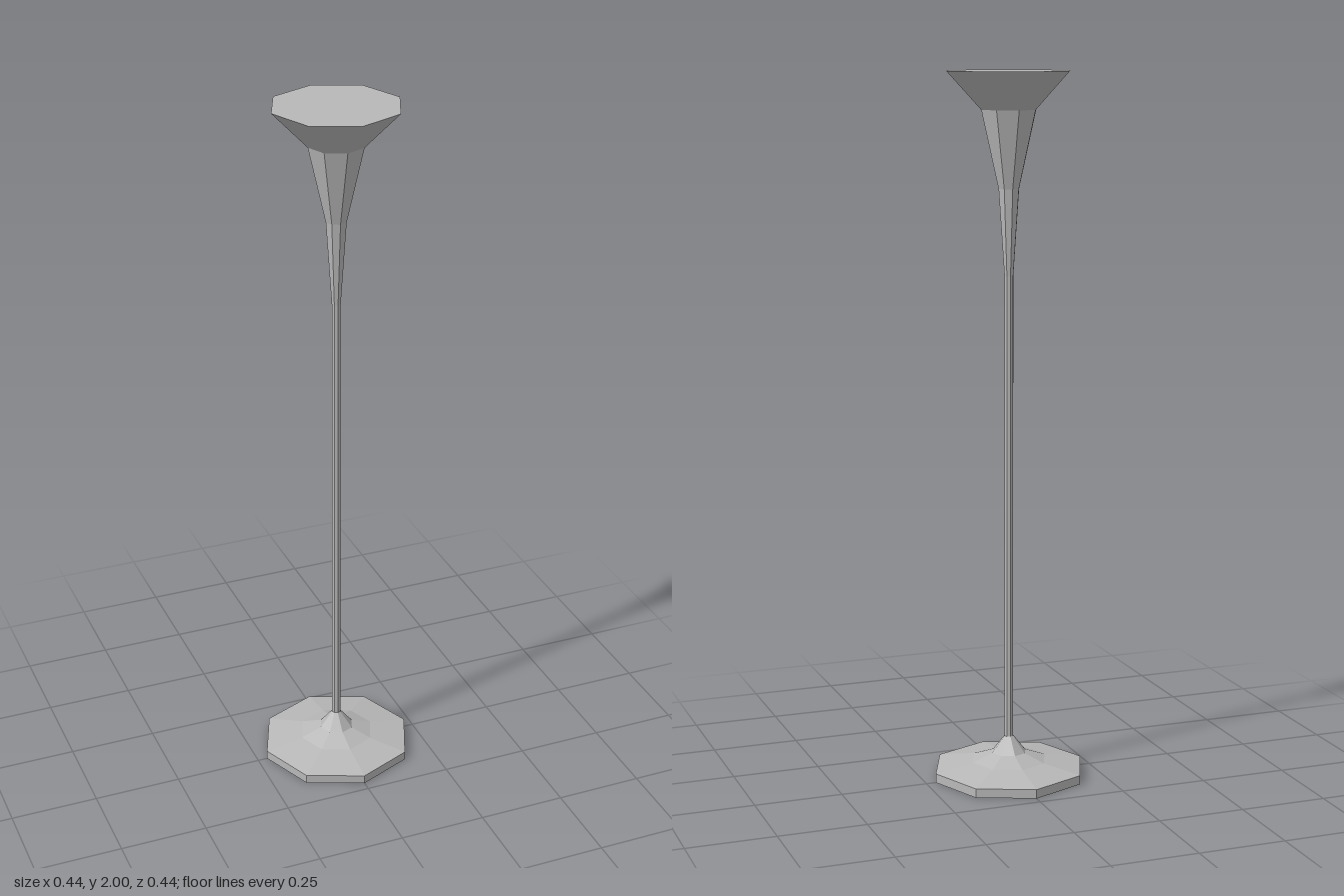
import * as THREE from 'three';

const SIDES = 8;

export function createModel() {
  const group = new THREE.Group();
  group.name = 'floorLamp';
  const grey = new THREE.MeshStandardMaterial({ name: 'grey metal', color: 0xb8b8b8, flatShading: true });

  // Turned octagonal part from [radius, height] pairs, listed bottom to top
  const turned = (name, profile) => {
    const points = profile.map(([r, y]) => new THREE.Vector2(r, y));
    const mesh = new THREE.Mesh(new THREE.LatheGeometry(points, SIDES), grey);
    mesh.name = name;
    group.add(mesh);
  };

  // Foot: flat plate sweeping up into a collar
  turned('base', [[0, 0], [0.222, 0], [0.222, 0.026], [0.11, 0.046], [0.05, 0.068], [0.013, 0.115]]);

  // Slender pole
  turned('pole', [[0.013, 0.115], [0.013, 1.44]]);

  // Flared trumpet closed by a flat top
  turned('shade', [[0.013, 1.44], [0.03, 1.68], [0.08, 1.895], [0.18, 2], [0, 2]]);

  return group;
}
